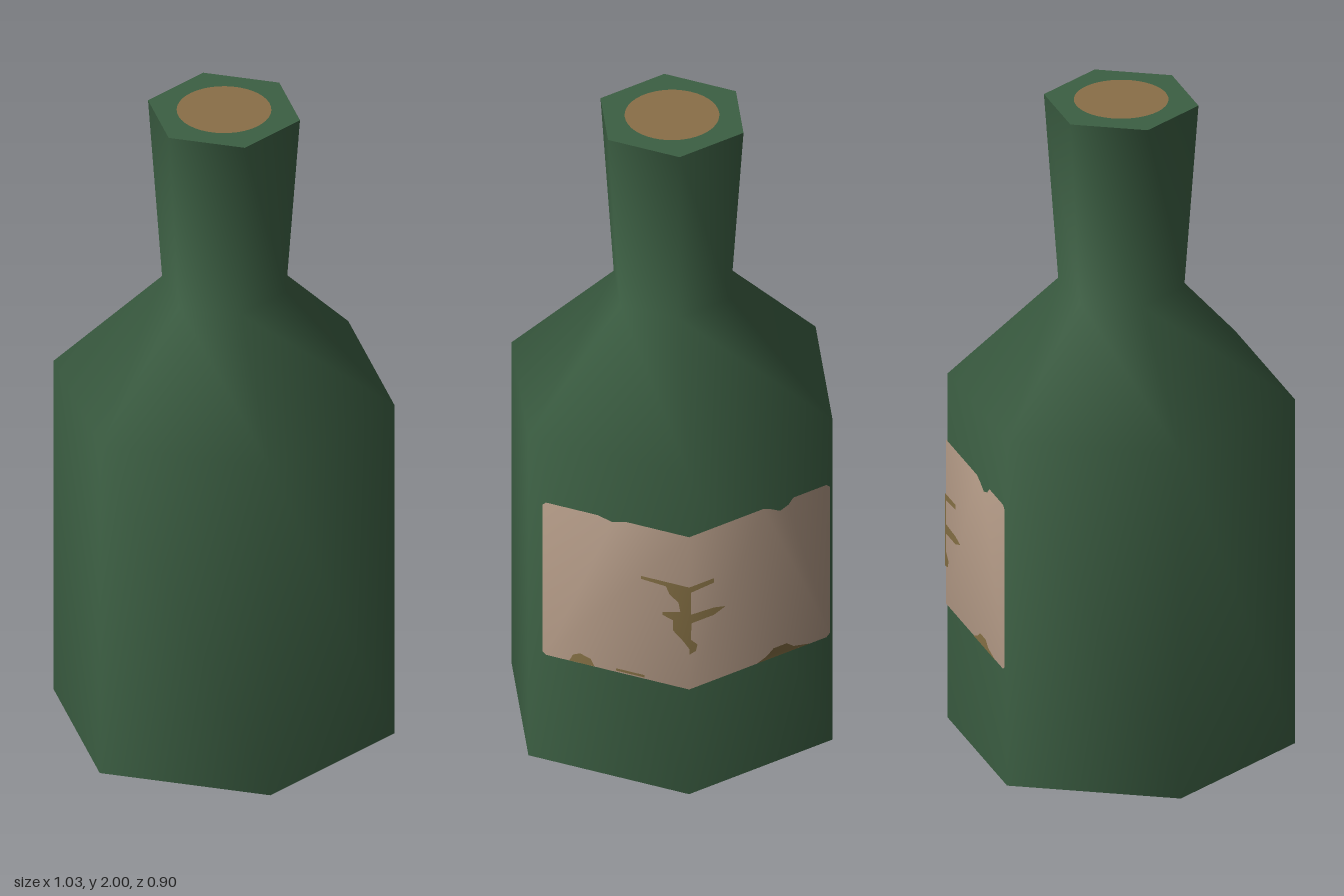
import * as THREE from 'three';

const R = 0.51, TURN = THREE.MathUtils.degToRad(1.7);
const SIDES = 6;

const mat = (name, color) => {
  const m = new THREE.MeshStandardMaterial({ color });
  m.name = name;
  return m;
};

// Corner k of the hexagonal wall, as (u, x) with u = -z
const corner = k => {
  const a = k * Math.PI / 3 - TURN;
  return { u: -R * Math.sin(a), x: R * Math.cos(a) };
};
const FRONT = corner(1), MID = corner(0), BACK = corner(-1);

// Lay a flat outline in (u, y) on one of the two right-hand wall faces
function wallPatch(points, end, lift) {
  const geo = new THREE.ShapeGeometry(new THREE.Shape(points.map(p => new THREE.Vector2(...p))));
  const pos = geo.attributes.position, nor = geo.attributes.normal;
  const n = new THREE.Vector3();
  for (let i = 0; i < pos.count; i++) {
    const u = pos.getX(i), y = pos.getY(i);
    const t = (u - MID.u) / (end.u - MID.u);
    const x = THREE.MathUtils.lerp(MID.x, end.x, t);
    pos.setXYZ(i, x + lift, y, -u);
    n.set(x, 0.2 * y, -u).normalize(); // rounded shading like the glass
    nor.setXYZ(i, n.x, n.y, n.z);
  }
  return geo;
}

export function createModel() {
  const group = new THREE.Group();
  const glass = mat('green glass', 0x3c5f43);
  const paper = mat('label paper', 0xaa927f);
  const cork = mat('cork', 0x8a6f48);
  const stain = mat('label stain', 0x7c683f);

  const add = (name, geo, material) => {
    const mesh = new THREE.Mesh(geo, material);
    mesh.name = name;
    group.add(mesh);
    return mesh;
  };

  // Bottle wall: body, shoulder and flared neck
  const profile = [[R, 0], [R, 1.09], [0.185, 1.42], [0.227, 1.998]]
    .map(p => new THREE.Vector2(...p));
  add('bottleWall', new THREE.LatheGeometry(profile, SIDES, Math.PI / 6 + TURN), glass);

  // Flat base, lip and round cork
  add('base', new THREE.CircleGeometry(R, SIDES, -TURN).rotateX(Math.PI / 2), glass);
  add('lip', new THREE.CircleGeometry(0.227, SIDES, TURN).rotateX(-Math.PI / 2), glass)
    .position.y = 1.998;
  add('cork', new THREE.CircleGeometry(0.137, 40).rotateX(-Math.PI / 2), cork)
    .position.y = 2;

  // Worn paper label folded round the right-hand corner
  const c = MID.u;
  add('labelFront', wallPatch([
    [-0.385, 0.36], [c, 0.36], [c, 0.88], [-0.16, 0.88], [-0.2, 0.868],
    [-0.24, 0.88], [-0.385, 0.88], [-0.395, 0.87], [-0.395, 0.37],
  ], FRONT, 0.004), paper);
  add('labelBack', wallPatch([
    [c, 0.36], [0.43, 0.36], [0.44, 0.37], [0.44, 0.87], [0.43, 0.88],
    [0.33, 0.88], [0.315, 0.862], [0.29, 0.852], [0.265, 0.868], [0.24, 0.88], [c, 0.88],
  ], BACK, 0.004), paper);

  // Tears and stains on the label
  const stains = [
    [FRONT, [[-0.12, 0.7], [-0.05, 0.695], [-0.04, 0.67], [-0.015, 0.65], [-0.01, 0.62],
      [-0.06, 0.605], [-0.06, 0.595], [-0.03, 0.585], [-0.03, 0.55], [0, 0.52],
      [c, 0.5], [c, 0.71], [-0.12, 0.71]]],
    [BACK, [[c, 0.48], [0.035, 0.485], [0.04, 0.505], [0.02, 0.53], [0.022, 0.585],
      [0.09, 0.585], [0.125, 0.6], [0.09, 0.61], [0.02, 0.615], [0.02, 0.69],
      [0.09, 0.695], [0.09, 0.71], [c, 0.71]]],
    [FRONT, [[-0.32, 0.362], [-0.25, 0.362], [-0.26, 0.385], [-0.29, 0.395], [-0.31, 0.385]]],
    [FRONT, [[-0.19, 0.366], [-0.11, 0.366], [-0.11, 0.374], [-0.19, 0.374]]],
    [BACK, [[0.22, 0.362], [0.38, 0.362], [0.33, 0.375], [0.31, 0.393], [0.27, 0.393], [0.25, 0.375]]],
  ];
  for (const [end, points] of stains) add('labelStain', wallPatch(points, end, 0.007), stain);

  return group;
}
